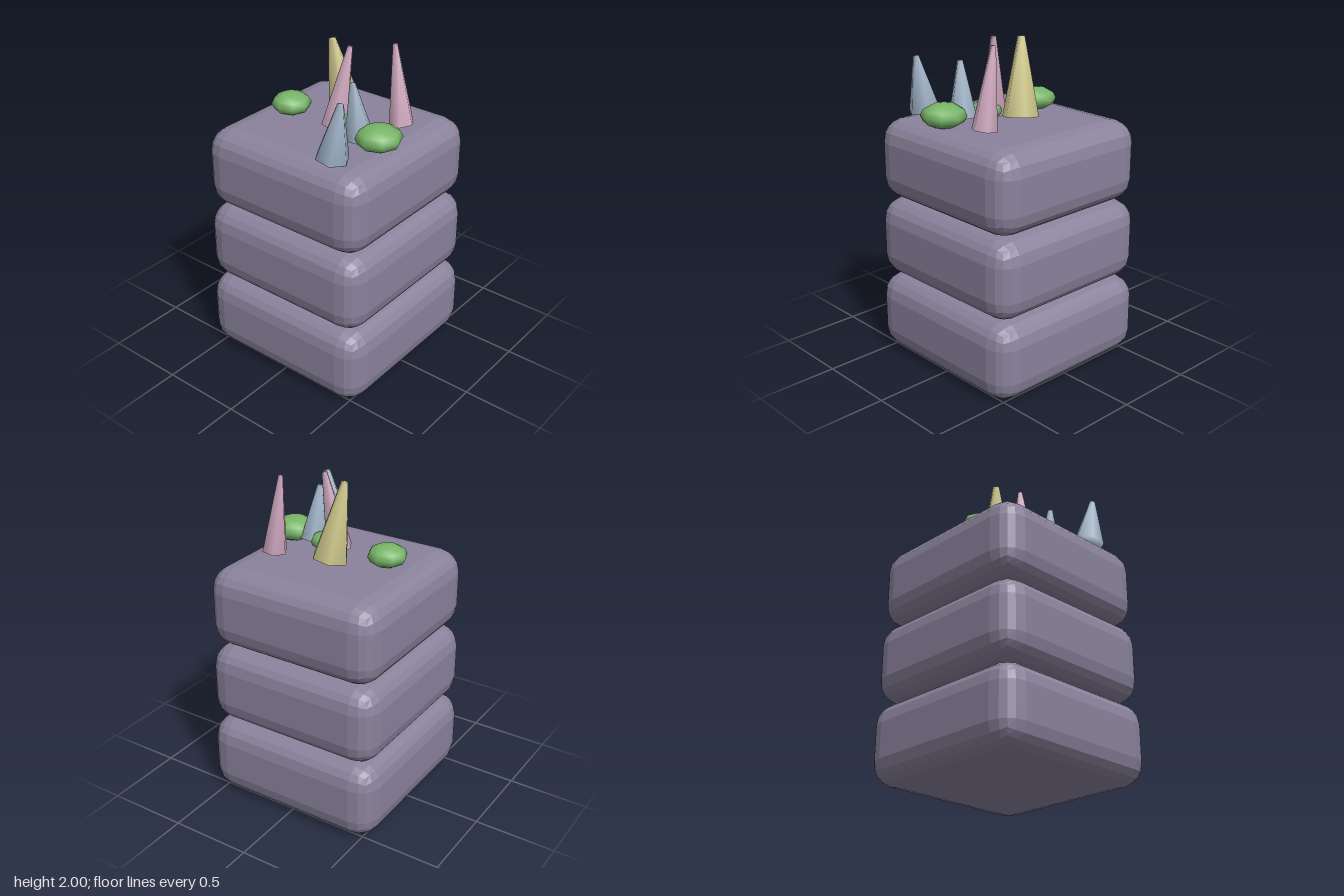
import * as THREE from 'three';
import { RoundedBoxGeometry } from 'three/addons/geometries/RoundedBoxGeometry.js';
import { mergeVertices } from 'three/addons/utils/BufferGeometryUtils.js';

function flatColour(name, hex) {
  const material = new THREE.MeshStandardMaterial({ color: hex });
  material.name = name;
  return material;
}

// Weld shared corners so the normals blend across every edge
function soften(geometry) {
  geometry.deleteAttribute('normal');
  geometry.deleteAttribute('uv');
  const welded = mergeVertices(geometry, 1e-4);
  welded.computeVertexNormals();
  return welded;
}

export function createModel() {
  const model = new THREE.Group();
  model.name = 'crystalPillar';

  const stone = flatColour('stone', 0x8a829c);
  const moss = flatColour('moss', 0x78b568);
  const blue = flatColour('paleBlue', 0xa9bdd1);
  const pink = flatColour('palePink', 0xd9b1c8);
  const yellow = flatColour('paleYellow', 0xd6cf92);

  function add(name, geometry, material) {
    const mesh = new THREE.Mesh(geometry, material);
    mesh.name = name;
    model.add(mesh);
    return mesh;
  }

  // Three stacked faceted blocks, each slightly narrower than the one below
  [1.166, 1.146, 1.126].forEach((width, i) => {
    const block = new RoundedBoxGeometry(width, 0.497, width, 2, 0.14);
    block.computeVertexNormals();
    add('stoneBlock' + (i + 1), block, stone).position.y = 0.2485 + i * 0.501;
  });

  // Squashed moss tufts: x, y, z, radius, half height
  [
    [-0.06, 1.562, -0.298, 0.119, 0.067],
    [-0.065, 1.558, 0.12, 0.1, 0.055],
    [-0.118, 1.567, 0.39, 0.137, 0.073],
  ].forEach(([x, y, z, r, h], i) => {
    const tuft = add('mossTuft' + (i + 1), soften(new THREE.SphereGeometry(1, 8, 6)), moss);
    tuft.position.set(x, y, z);
    tuft.scale.set(r, h, r);
  });

  // Leaning six-sided crystals: base x, z, tip x, y, z, base radius, colour
  const up = new THREE.Vector3(0, 1, 0);
  [
    [-0.41, 0.295, -0.41, 1.858, 0.35, 0.1, blue],
    [-0.115, 0.25, -0.155, 1.858, 0.23, 0.088, blue],
    [-0.08, 0.045, -0.01, 1.998, 0.1, 0.083, pink],
    [0.17, 0.335, 0.177, 1.998, 0.272, 0.077, pink],
    [0.1, -0.01, 0.04, 1.988, -0.07, 0.112, yellow],
  ].forEach(([bx, bz, tx, ty, tz, r, material], i) => {
    const base = new THREE.Vector3(bx, 1.528, bz);
    const tip = new THREE.Vector3(tx, ty, tz);
    const axis = tip.clone().sub(base);
    const shape = new THREE.CylinderGeometry(r * 0.2, r, axis.length(), 6, 1);
    const crystal = add('crystal' + (i + 1), soften(shape), material);
    crystal.position.copy(base).add(tip).multiplyScalar(0.5);
    crystal.quaternion.setFromUnitVectors(up, axis.normalize());
  });

  return model;
}
